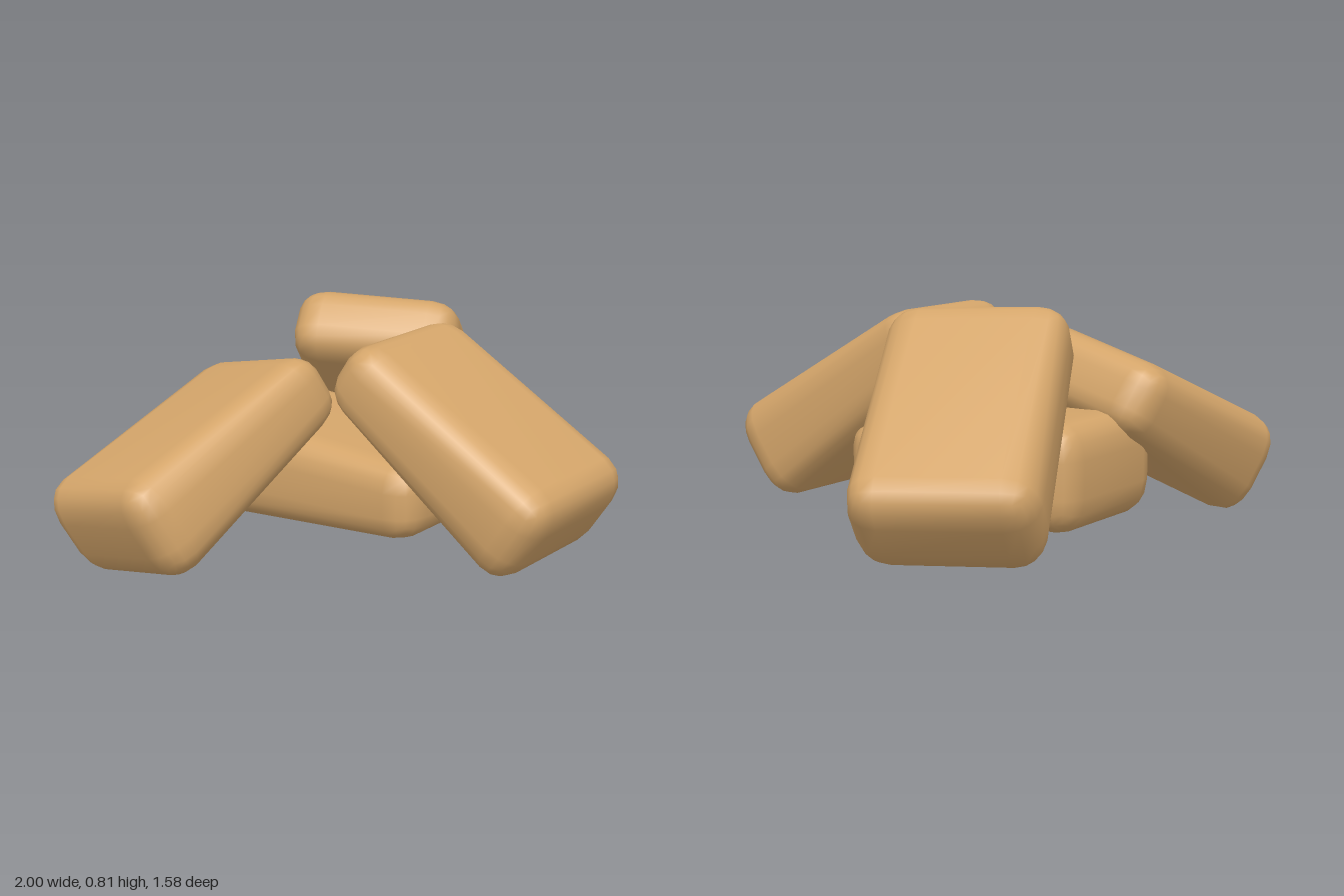
import * as THREE from 'three';
import { mergeVertices } from 'three/addons/utils/BufferGeometryUtils.js';
import { RoundedBoxGeometry } from 'three/addons/geometries/RoundedBoxGeometry.js';

const WIDTH = 0.61, THICKNESS = 0.325, LENGTH = 0.92, RADIUS = 0.11;
const TAPER = 0.43; // relative thickness gained per unit of length

// Soft-edged block, thicker towards +z, with smooth normals
function blockGeometry() {
  let geometry = new RoundedBoxGeometry(WIDTH, THICKNESS, LENGTH, 2, RADIUS);
  const position = geometry.attributes.position;
  for (let i = 0; i < position.count; i++) {
    position.setY(i, position.getY(i) * (1 + TAPER * position.getZ(i)));
  }
  geometry.deleteAttribute('normal');
  geometry.deleteAttribute('uv');
  geometry = mergeVertices(geometry, 1e-4);
  geometry.computeVertexNormals();
  return geometry;
}

// length: direction of the thick end; side: width direction; center: middle of the extents
const blocks = [
  { name: 'frontBlock', length: [0, -0.56, 0.83], side: [1, 0, 0], center: [0.015, 0.433, 0.357] },
  { name: 'backBlock', length: [0, 0, -1], side: [-1, 0, 0], center: [0.015, 0.265, -0.17] },
  { name: 'rightBlock', length: [-0.902, -0.424, -0.08], side: [-0.19, 0.229, 0.955], center: [-0.52, 0.355, -0.452] },
  { name: 'leftBlock', length: [0.7, -0.65, -0.3], side: [-0.37, 0.03, -0.93], center: [0.545, 0.44, -0.38] },
];

export function createModel() {
  const group = new THREE.Group();
  group.name = 'blockPile';
  const tan = new THREE.MeshStandardMaterial({ color: 0xd4a56a });
  tan.name = 'tan';

  for (const { name, length, side, center } of blocks) {
    // Right-handed axes from the length and side directions
    const z = new THREE.Vector3(...length).normalize();
    const y = z.clone().cross(new THREE.Vector3(...side)).normalize();
    const x = y.clone().cross(z);
    const geometry = blockGeometry();
    geometry.applyMatrix4(new THREE.Matrix4().makeBasis(x, y, z));
    geometry.center();
    const mesh = new THREE.Mesh(geometry, tan);
    mesh.name = name;
    mesh.position.set(...center);
    group.add(mesh);
  }
  return group;
}
